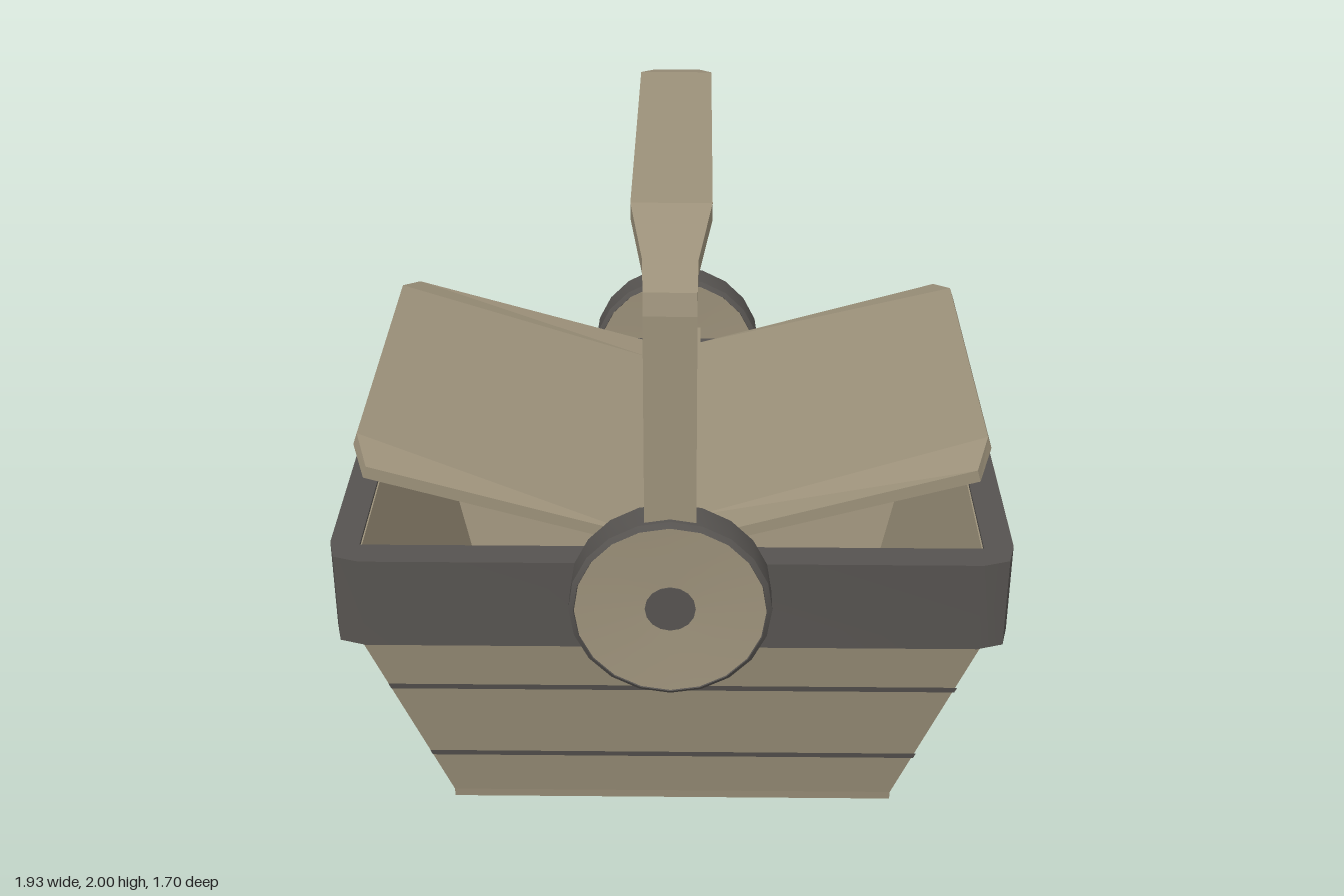
import * as THREE from 'three';
import { toCreasedNormals } from 'three/addons/utils/BufferGeometryUtils.js';

const tan = new THREE.MeshStandardMaterial({ color: 0x9c917a });
const dark = new THREE.MeshStandardMaterial({ color: 0x565350 });

// Joins equal rings of [x, y, z] corners with flat quads; caps close both ends.
function loft(rings, caps = true) {
  const pos = [];
  const quad = (a, b, c, d) => pos.push(...a, ...b, ...c, ...a, ...c, ...d);
  const n = rings[0].length;
  for (let r = 0; r < rings.length - 1; r++) {
    const a = rings[r], b = rings[r + 1];
    for (let i = 0; i < n; i++) {
      const j = (i + 1) % n;
      quad(a[i], a[j], b[j], b[i]);
    }
  }
  if (caps) {
    const s = rings[0], e = rings[rings.length - 1];
    for (let i = 0; i < n / 2 - 1; i++) {
      quad(s[n - 1 - i], s[n - 2 - i], s[i + 1], s[i]);
      quad(e[i], e[i + 1], e[n - 2 - i], e[n - 1 - i]);
    }
  }
  const geo = new THREE.BufferGeometry();
  geo.setAttribute('position', new THREE.Float32BufferAttribute(pos, 3));
  geo.computeVertexNormals();
  return geo;
}

const rect = (y, w, d, left = w) => [[w, y, d], [w, y, -d], [-left, y, -d], [-left, y, d]];

export function createModel() {
  const model = new THREE.Group();
  const add = (name, geo, mat, parent = model) => {
    const mesh = new THREE.Mesh(geo, mat);
    mesh.name = name;
    parent.add(mesh);
    return mesh;
  };

  // Flared basket: outside wall, lip, then inside wall down to the floor
  add('basketBody', loft([
    rect(0, 0.675, 0.49), rect(0.03, 0.675, 0.495), rect(0.8, 0.931, 0.674),
    rect(0.99, 0.9, 0.65), rect(0.99, 0.876, 0.621), rect(0.04, 0.65, 0.47),
  ]), tan);

  // Dark seams on the front, back and +x sides
  for (const y of [0.205, 0.5]) {
    const ring = (h) => {
      const w = 0.675 + (h - 0.03) * 0.333, d = 0.495 + (h - 0.03) * 0.232;
      return rect(h, w + 0.004, d + 0.004, w - 0.001);
    };
    add('seam', loft([ring(y - 0.01), ring(y + 0.01)], false), dark);
  }

  // Thick rim with softened corners and a rectangular opening
  const outline = [];
  const corner = [[0.965, 0.61], [0.945, 0.69], [0.87, 0.715]];
  for (const [sx, sz] of [[1, 1], [-1, 1], [-1, -1], [1, -1]]) {
    const pts = sx * sz > 0 ? corner : [...corner].reverse();
    for (const [x, z] of pts) outline.push(new THREE.Vector2(x * sx, z * sz));
  }
  const rimShape = new THREE.Shape(outline);
  rimShape.holes.push(new THREE.Path(
    [[0.88, 0.625], [0.88, -0.625], [-0.88, -0.625], [-0.88, 0.625]].map((p) => new THREE.Vector2(...p))));
  const rimGeo = new THREE.ExtrudeGeometry(rimShape, { depth: 0.28, bevelEnabled: false });
  rimGeo.rotateX(-Math.PI / 2).translate(0, 0.72, 0);
  add('rim', toCreasedNormals(rimGeo, 0.9), dark);

  // Crossbar between the lids, with a small tab at the front
  add('crossbar', new THREE.BoxGeometry(0.16, 0.09, 1.31).translate(0, 1.025, 0), tan);
  add('hingeTab', new THREE.BoxGeometry(0.17, 0.03, 0.04).translate(-0.155, 0.997, 0.64), tan);

  // Half-open lids, crowned towards the free end
  const lidRing = (edge, mid) => {
    const at = (k) => (z) => {
      const p = Math.abs(z) > 0.55 ? edge[k] : mid[k];
      return [p[0], p[1], z];
    };
    return [...[0.62, 0.5, -0.5, -0.62].map(at(0)), ...[-0.62, -0.5, 0.5, 0.62].map(at(1))];
  };
  const hinge = [[0.075, 0.995], [0.075, 1.03]];
  const lidGeo = loft([
    lidRing(hinge, hinge),
    lidRing([[0.855, 1.215], [0.845, 1.25]], [[0.897, 1.255], [0.885, 1.29]]),
  ]);
  add('leftLid', lidGeo, tan);
  add('rightLid', lidGeo, tan).rotation.y = Math.PI;

  // Carrying handle: half width, outer z/y, inner z/y, mirrored over the top
  const half = [
    [0.07, 0.825, 1.0, 0.775, 1.0],
    [0.07, 0.825, 1.81, 0.775, 1.81],
    [0.07, 0.81, 1.87, 0.77, 1.82],
    [0.072, 0.75, 1.935, 0.735, 1.885],
    [0.108, 0.53, 2.0, 0.515, 1.945],
  ];
  const stations = [
    ...half.map(([w, zo, yo, zi, yi]) => [w, -zo, yo, -zi, yi]),
    ...[...half].reverse(),
  ];
  add('handle', loft(stations.map(([w, zo, yo, zi, yi]) =>
    [[w, yi, zi], [w, yo, zo], [-w, yo, zo], [-w, yi, zi]])), tan);

  // Round handle mounts: dark band, dished tan faces and a dark centre
  const lathe = (pts) => toCreasedNormals(
    new THREE.LatheGeometry(pts.map((p) => new THREE.Vector2(...p)), 20), 0.5);
  const band = lathe([[0.262, -0.05], [0.266, -0.06], [0.28, -0.048], [0.28, 0.048], [0.266, 0.06], [0.262, 0.05]]);
  const faces = lathe([[0, -0.045], [0.07, -0.045], [0.264, -0.057], [0.264, 0.057], [0.07, 0.045], [0, 0.045]]);
  for (const side of [1, -1]) {
    const mount = new THREE.Group();
    mount.name = side > 0 ? 'frontHandleMount' : 'backHandleMount';
    mount.position.set(0, 0.93, side * 0.79);
    mount.rotation.x = side * Math.PI / 2;
    add('mountBand', band, dark, mount);
    add('mountFaces', faces, tan, mount);
    add('mountCentre', new THREE.CylinderGeometry(0.07, 0.07, 0.096, 16), dark, mount);
    model.add(mount);
    // Short stub joining the mount to the rim
    add('mountStub', new THREE.BoxGeometry(0.14, 0.14, 0.08).translate(0, 0.85, side * 0.725), dark);
  }
  return model;
}
